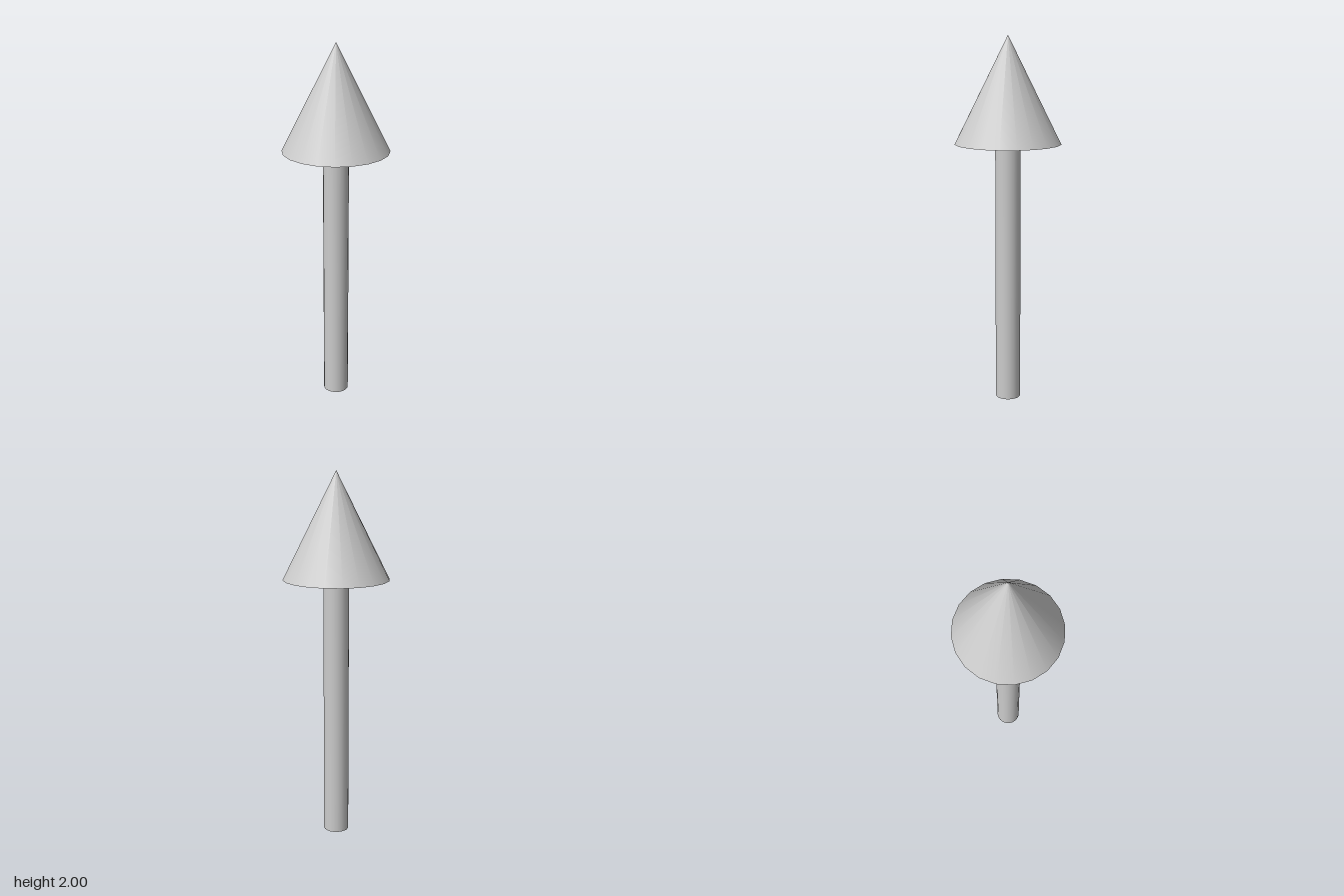
import * as THREE from 'three';

const SIDES = 20;
const HEIGHT = 2;
const HEAD_BASE = 1.43;

export function createModel() {
  const group = new THREE.Group();
  group.name = 'arrow';
  const material = new THREE.MeshStandardMaterial({ color: 0xcccccc });

  const add = (name, geometry, y) => {
    const mesh = new THREE.Mesh(geometry, material);
    mesh.name = name;
    mesh.position.y = y;
    group.add(mesh);
  };

  // Round shaft standing on the ground, up to the underside of the head
  add('shaft', new THREE.CylinderGeometry(0.069, 0.069, HEAD_BASE, SIDES), HEAD_BASE / 2);

  // Pointed head with a flat, closed underside
  const headHeight = HEIGHT - HEAD_BASE;
  add('head', new THREE.ConeGeometry(0.287, headHeight, SIDES), HEAD_BASE + headHeight / 2);

  return group;
}
